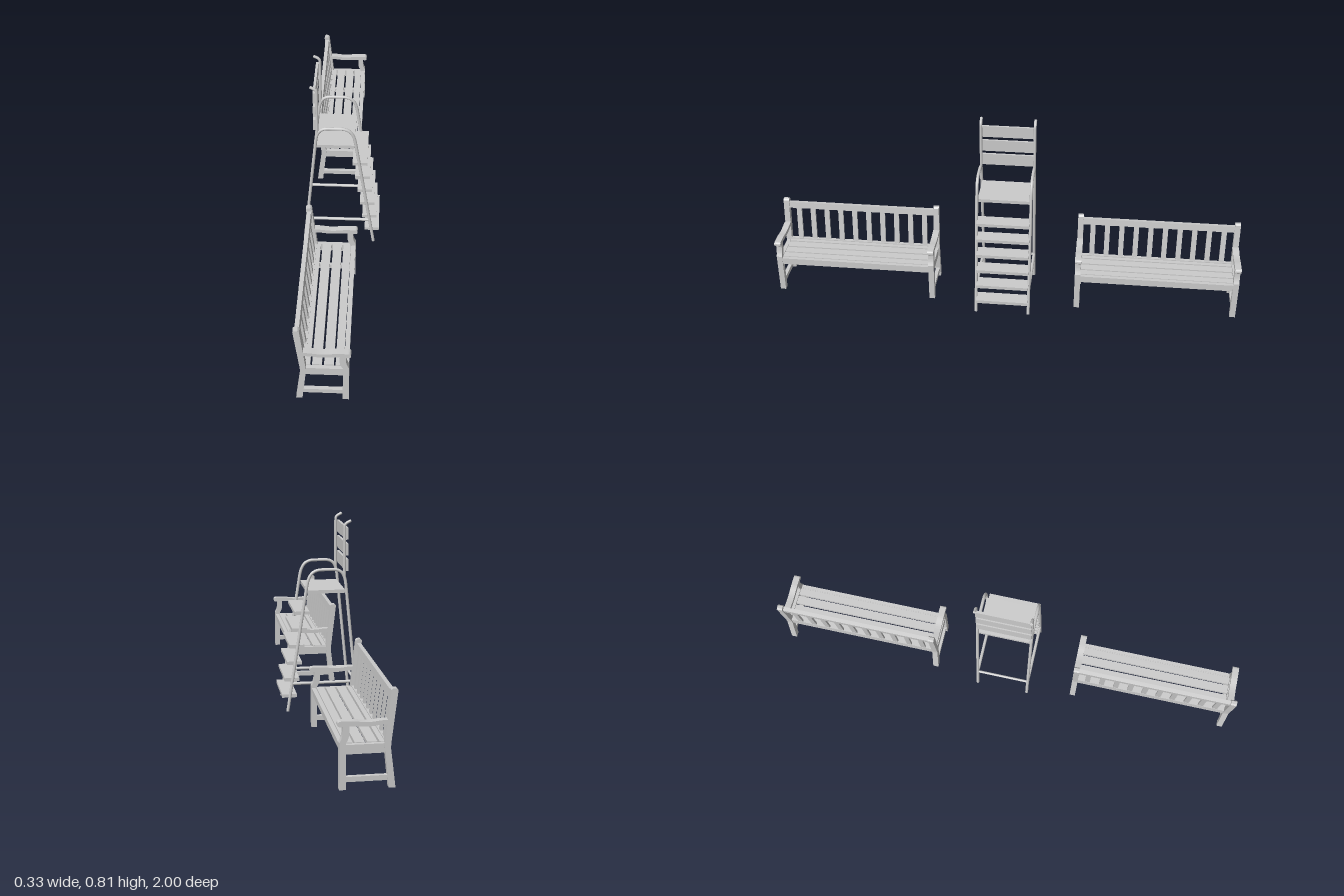
import * as THREE from 'three';

const material = new THREE.MeshStandardMaterial({ color: 0xcccccc });
const v = (x, y, z = 0) => new THREE.Vector3(x, y, z);

function add(parent, name, geometry, x = 0, y = 0, z = 0) {
  const mesh = new THREE.Mesh(geometry, material);
  mesh.name = name;
  mesh.position.set(x, y, z);
  parent.add(mesh);
  return mesh;
}

const box = (parent, name, w, h, d, x, y, z) =>
  add(parent, name, new THREE.BoxGeometry(w, h, d), x, y, z);

// Round bar with closed ends between two points
function rod(parent, name, a, b, r) {
  const dir = b.clone().sub(a);
  const mid = a.clone().add(b).multiplyScalar(0.5);
  const mesh = add(parent, name, new THREE.CylinderGeometry(r, r, dir.length(), 12), mid.x, mid.y, mid.z);
  mesh.quaternion.setFromUnitVectors(v(0, 1), dir.normalize());
  return mesh;
}

// Bent tube with a disc closing each end
function bentTube(parent, name, path, segments, r) {
  const group = new THREE.Group();
  group.name = name;
  add(group, 'tube', new THREE.TubeGeometry(path, segments, r, 12));
  for (const t of [0, 1]) {
    const p = path.getPointAt(t);
    const cap = add(group, 'tubeEnd', new THREE.CircleGeometry(r, 12), p.x, p.y, p.z);
    cap.quaternion.setFromUnitVectors(v(0, 0, 1), path.getTangentAt(t).multiplyScalar(t ? 1 : -1));
  }
  parent.add(group);
  return group;
}

// Side profile cut from a board, centred on z = 0
function board(shape, depth) {
  return new THREE.ExtrudeGeometry(shape, { depth, bevelEnabled: false, curveSegments: 8 })
    .translate(0, 0, -depth / 2);
}

const polygon = (points) => new THREE.Shape(points.map(([x, y]) => new THREE.Vector2(x, y)));

function createTallChair() {
  const chair = new THREE.Group();
  chair.name = 'tallChair';
  const half = 0.113;

  // Side frame: one tube from rear foot over the arm to the front foot
  const frame = new THREE.CurvePath();
  frame.add(new THREE.LineCurve3(v(-0.157, 0), v(-0.104, 0.53)));
  frame.add(new THREE.CubicBezierCurve3(v(-0.104, 0.53), v(-0.1, 0.575), v(-0.09, 0.601), v(-0.05, 0.601)));
  frame.add(new THREE.LineCurve3(v(-0.05, 0.601), v(-0.005, 0.601)));
  frame.add(new THREE.CubicBezierCurve3(v(-0.005, 0.601), v(0.035, 0.601), v(0.052, 0.582), v(0.06, 0.53)));
  frame.add(new THREE.LineCurve3(v(0.06, 0.53), v(0.141, 0)));

  // Back post with a top that hooks rearward
  const post = new THREE.CurvePath();
  post.add(new THREE.LineCurve3(v(-0.097, 0.57), v(-0.097, 0.775)));
  post.add(new THREE.QuadraticBezierCurve3(v(-0.097, 0.775), v(-0.097, 0.788), v(-0.106, 0.793)));
  post.add(new THREE.LineCurve3(v(-0.106, 0.793), v(-0.123, 0.802)));

  for (const side of [-1, 1]) {
    bentTube(chair, 'sideFrame', frame, 140, 0.0065).position.z = side * half;
    bentTube(chair, 'backPost', post, 40, 0.006).position.z = side * half;
    rod(chair, 'sideBrace', v(-0.143, 0.12, side * half), v(0.122, 0.12, side * half), 0.0065);
  }
  rod(chair, 'rearBrace', v(-0.145, 0.12, -half), v(-0.145, 0.12, half), 0.0055);

  box(chair, 'seat', 0.157, 0.014, 0.22, -0.022, 0.508, 0);
  for (const y of [0.617, 0.682, 0.748]) box(chair, 'backSlat', 0.01, 0.05, 0.226, -0.108, y, 0);

  // Ladder steps follow the slope of the front legs
  for (let i = 0; i < 6; i++) {
    box(chair, 'step', 0.062, 0.014, 0.222, 0.133 - i * 0.0108, 0.066 + i * 0.0709, 0);
  }
  return chair;
}

function createBench() {
  const bench = new THREE.Group();
  bench.name = 'bench';
  const endZ = 0.335;
  const inner = 0.65;

  const rearLeg = polygon([[-0.127, 0], [-0.103, 0], [-0.087, 0.15], [-0.088, 0.165], [-0.108, 0.352],
    [-0.114, 0.358], [-0.126, 0.358], [-0.132, 0.352], [-0.11, 0.165], [-0.109, 0.145]]);

  // Front leg: straight below, curving back towards the arm
  const frontLeg = new THREE.Shape();
  frontLeg.moveTo(0.048, 0);
  frontLeg.lineTo(0.071, 0);
  frontLeg.lineTo(0.071, 0.172);
  frontLeg.bezierCurveTo(0.064, 0.187, 0.058, 0.195, 0.06, 0.235);
  frontLeg.lineTo(0.038, 0.235);
  frontLeg.bezierCurveTo(0.034, 0.2, 0.038, 0.185, 0.048, 0.17);

  // Wavy arm rest with a rounded nose
  const arm = new THREE.Shape();
  arm.moveTo(-0.098, 0.231);
  arm.bezierCurveTo(-0.065, 0.233, -0.055, 0.227, -0.03, 0.227);
  arm.bezierCurveTo(0, 0.227, 0.01, 0.233, 0.062, 0.23);
  arm.bezierCurveTo(0.074, 0.226, 0.08, 0.232, 0.078, 0.24);
  arm.quadraticCurveTo(0.077, 0.249, 0.066, 0.249);
  arm.lineTo(0.038, 0.249);
  arm.bezierCurveTo(0.01, 0.249, 0, 0.243, -0.03, 0.243);
  arm.bezierCurveTo(-0.055, 0.243, -0.065, 0.248, -0.098, 0.248);

  for (const side of [-1, 1]) {
    const z = side * endZ;
    add(bench, 'rearLeg', board(rearLeg, 0.024), 0, 0, z);
    add(bench, 'frontLeg', board(frontLeg, 0.024), 0, 0, z);
    add(bench, 'armRest', board(arm, 0.027), 0, 0, z);
    box(bench, 'sideRail', 0.146, 0.034, 0.016, -0.022, 0.145, z);
    box(bench, 'lowerRail', 0.156, 0.019, 0.016, -0.025, 0.0365, z);
  }

  // Seat: long slats on front and rear rails
  for (const [x, w] of [[-0.082, 0.018], [-0.048, 0.036], [-0.004, 0.036], [0.0355, 0.03], [0.063, 0.014]]) {
    box(bench, 'seatSlat', w, 0.014, inner, x, 0.157, 0);
  }
  box(bench, 'frontRail', 0.014, 0.03, inner, 0.059, 0.147, 0);
  box(bench, 'rearRail', 0.015, 0.036, inner, -0.098, 0.15, 0);

  // Back rest leaning in line with the upper rear legs
  const back = new THREE.Group();
  back.name = 'backRest';
  back.position.set(-0.0985, 0.16, 0);
  back.rotation.z = 0.113;
  box(back, 'topRail', 0.017, 0.028, inner, 0, 0.17, 0);
  for (let i = 0; i < 10; i++) {
    box(back, 'backSlat', 0.009, 0.16, 0.022, 0, 0.08, (i - 4.5) * 0.0625);
  }
  bench.add(back);
  return bench;
}

export function createModel() {
  const model = new THREE.Group();
  model.name = 'tallChairWithBenches';
  model.add(createTallChair());
  for (const side of [-1, 1]) {
    const bench = createBench();
    bench.position.z = side * 0.652;
    model.add(bench);
  }
  return model;
}
